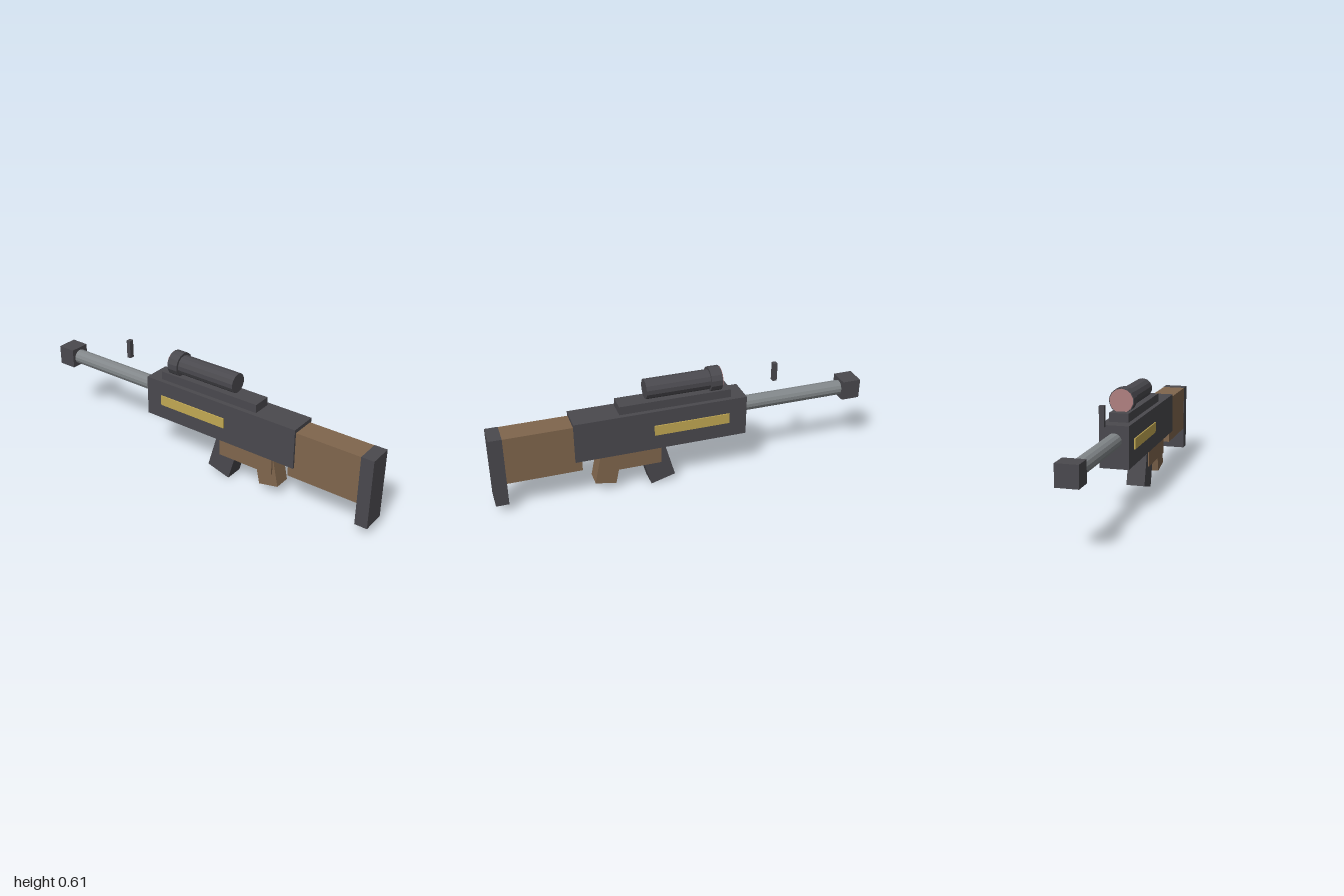
import * as THREE from 'three';

const mat = (name, color) => {
  const m = new THREE.MeshStandardMaterial({ color, flatShading: true });
  m.name = name;
  return m;
};

export function createModel() {
  const model = new THREE.Group();
  model.name = 'model';
  const dark = mat('darkMetal', 0x4a494e);
  const wood = mat('wood', 0x80664d);
  const steel = mat('steel', 0x82878a);
  const brass = mat('brass', 0xc2a953);
  const glass = mat('pinkGlass', 0xb08080);

  const add = (name, geometry, material, x, y, z) => {
    const mesh = new THREE.Mesh(geometry, material);
    mesh.name = name;
    mesh.position.set(x, y, z);
    model.add(mesh);
    return mesh;
  };
  // Box centred on x, given half width and its y and z ranges
  const block = (name, material, halfW, y0, y1, z0, z1) =>
    add(name, new THREE.BoxGeometry(halfW * 2, y1 - y0, z1 - z0), material, 0, (y0 + y1) / 2, (z0 + z1) / 2);
  // Fourteen-sided cylinder along z
  const tube = (name, material, r, y, z0, z1) =>
    add(name, new THREE.CylinderGeometry(r, r, z1 - z0, 14).rotateX(-Math.PI / 2), material, 0, y, (z0 + z1) / 2);

  // Stock and body
  block('buttPad', dark, 0.065, 0.048, 0.426, 0.933, 1.0);
  block('stock', wood, 0.064, 0.17, 0.425, 0.55, 0.934);
  block('body', dark, 0.075, 0.228, 0.445, -0.33, 0.585);
  block('topRail', dark, 0.05, 0.44, 0.49, -0.25, 0.345);

  // Barrel, muzzle and floating front sight
  tube('barrel', steel, 0.04, 0.367, -0.92, -0.32);
  block('muzzle', dark, 0.055, 0.316, 0.422, -1.0, -0.9);
  block('frontSight', dark, 0.013, 0.477, 0.577, -0.523, -0.5);

  // Scope
  tube('scopeTube', dark, 0.052, 0.543, -0.15, 0.2);
  tube('scopeRing', dark, 0.065, 0.543, -0.2, -0.14);
  tube('scopeLens', glass, 0.061, 0.543, -0.204, -0.198);

  // Side plates
  for (const side of [-1, 1])
    add('sidePlate', new THREE.BoxGeometry(0.008, 0.055, 0.405), brass, side * 0.077, 0.337, -0.032);

  // Lower housing with slanted grip and magazine
  block('lowerHousing', wood, 0.055, 0.127, 0.235, 0.13, 0.45);
  add('grip', new THREE.BoxGeometry(0.09, 0.16, 0.112), wood, 0, 0.13, 0.413).rotation.x = -0.21;
  add('magazine', new THREE.BoxGeometry(0.1, 0.24, 0.135), dark, 0, 0.134, 0.153).rotation.x = 0.279;

  return model;
}
